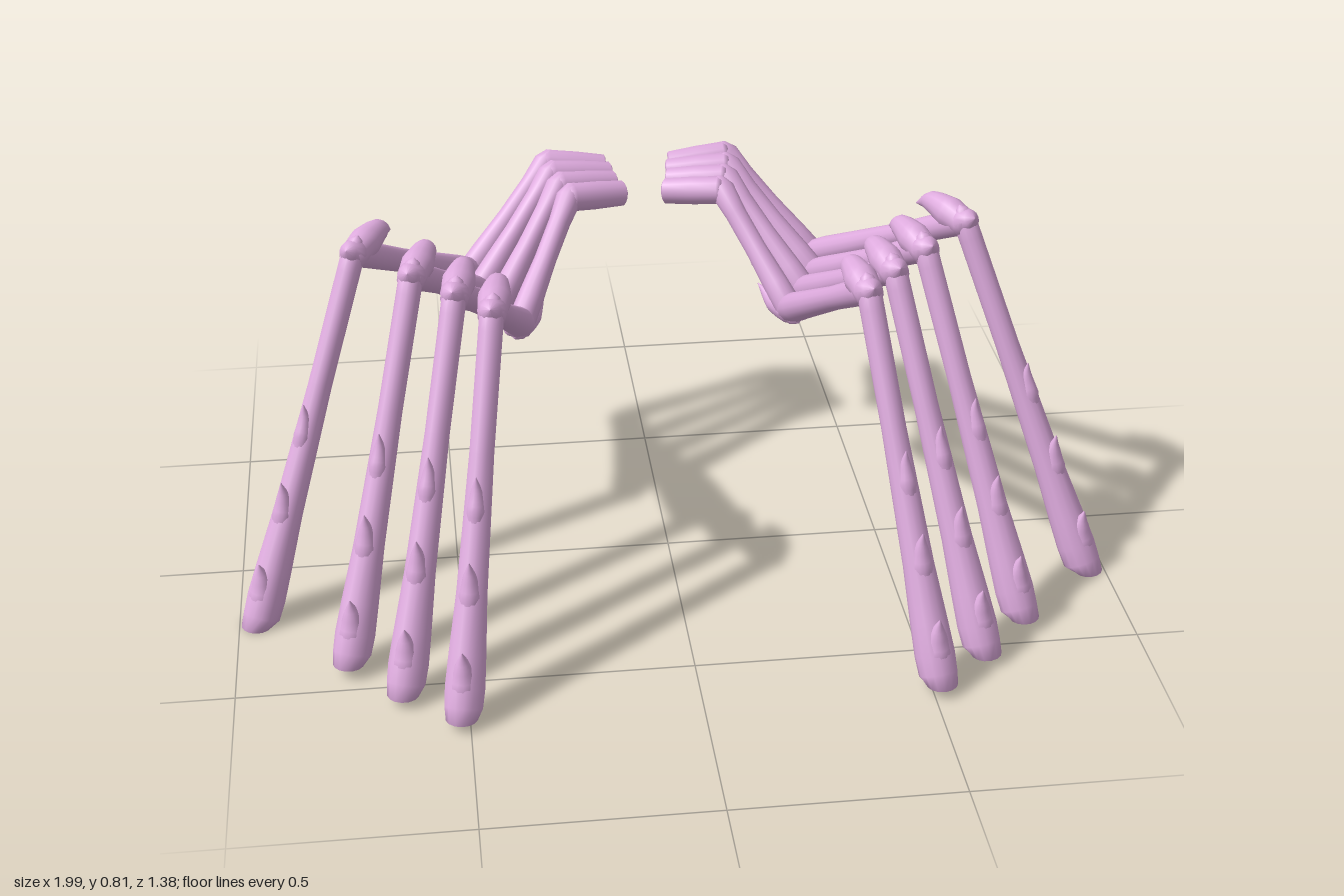
import * as THREE from 'three';

const UP = new THREE.Vector3(0, 1, 0);
const SIDES = 14;
const material = new THREE.MeshStandardMaterial({ color: 0xddaadd });

// Round skin over rings [{ p, r }]; vertices below floorY are flattened onto it
function skin(name, rings, side, floorY = -1) {
  const pos = [], idx = [], last = rings.length - 1;
  rings.forEach(({ p, r }, i) => {
    const t = rings[Math.min(i + 1, last)].p.clone().sub(rings[Math.max(i - 1, 0)].p).normalize();
    const v = t.clone().cross(side).normalize();
    const u = v.clone().cross(t);
    for (let j = 0; j < SIDES; j++) {
      const a = (j / SIDES) * Math.PI * 2;
      const q = p.clone().addScaledVector(u, Math.cos(a) * r).addScaledVector(v, Math.sin(a) * r);
      pos.push(q.x, Math.max(q.y, floorY), q.z);
      if (i < last) {
        const k = i * SIDES, n = (j + 1) % SIDES;
        idx.push(k + j, k + n, k + SIDES + n, k + j, k + SIDES + n, k + SIDES + j);
      }
    }
  });
  const g = new THREE.BufferGeometry();
  g.setAttribute('position', new THREE.Float32BufferAttribute(pos, 3));
  g.setIndex(idx);
  g.computeVertexNormals();
  const mesh = new THREE.Mesh(g, material);
  mesh.name = name;
  return mesh;
}

const sideOf = (d) => UP.clone().cross(d).normalize();

// Straight segment with a [fraction, radius] profile
function limb(name, a, b, profile, floorY) {
  const rings = profile.map(([t, r]) => ({ p: a.clone().lerp(b, t), r }));
  return skin(name, rings, sideOf(b.clone().sub(a)), floorY);
}

// Curved claw: smooth path with radii blended along it
function claw(name, points, radii, side) {
  const curve = new THREE.CatmullRomCurve3(points);
  const n = 12, rings = [{ p: curve.getPoint(0).addScaledVector(curve.getTangent(0), -0.01), r: 0.001 }];
  for (let i = 0; i <= n; i++) {
    const f = (i / n) * (radii.length - 1), k = Math.min(Math.floor(f), radii.length - 2);
    rings.push({ p: curve.getPoint(i / n), r: THREE.MathUtils.lerp(radii[k], radii[k + 1], f - k) });
  }
  return skin(name, rings, side);
}

function makeLeg(joints, s) {
  const [root, hip, elbow, knee, foot] = joints.map(([x, y, z]) => new THREE.Vector3(x * s, y, z));
  const leg = new THREE.Group();
  const flat = (a, b) => b.clone().sub(a).setY(0).normalize();
  const at = (p, h, out, up) => p.clone().addScaledVector(h, out).addScaledVector(UP, up);

  // Short drum at the body end
  leg.add(limb('hipDrum', root, hip, [[0, 0.001], [0.004, 0.026], [0.03, 0.031], [0.5, 0.034],
    [0.95, 0.034], [1.03, 0.028], [1.05, 0.001]]));

  // Inner segment dropping to the elbow, with a small thorn beneath
  leg.add(limb('innerSegment', hip, elbow, [[-0.12, 0.001], [-0.09, 0.018], [0, 0.031], [0.2, 0.026],
    [0.5, 0.026], [0.8, 0.031], [1, 0.033], [1.1, 0.02], [1.13, 0.001]]));
  const hi = flat(hip, elbow), mid = hip.clone().lerp(elbow, 0.6);
  leg.add(claw('innerThorn', [at(mid, hi, 0, 0.01), at(mid, hi, -0.02, -0.012), at(mid, hi, -0.046, -0.012)],
    [0.022, 0.016, 0.001], sideOf(hi)));

  // Middle segment rising to the knee
  leg.add(limb('middleSegment', elbow, knee, [[-0.07, 0.001], [-0.05, 0.02], [0, 0.033], [0.1, 0.035],
    [0.3, 0.032], [0.6, 0.028], [0.9, 0.031], [1, 0.032], [1.04, 0.022], [1.06, 0.001]]));
  leg.add(claw('elbowClaw', [at(elbow, hi, 0.05, 0.01), at(elbow, hi, 0, -0.004), at(elbow, hi, -0.055, -0.004),
    at(elbow, hi, -0.115, 0.022)], [0.02, 0.033, 0.024, 0.001], sideOf(hi)));
  const hm = flat(elbow, knee);
  leg.add(claw('kneeClaw', [at(knee, hm, 0.012, -0.01), at(knee, hm, -0.05, 0.003), at(knee, hm, -0.11, 0.009),
    at(knee, hm, -0.16, -0.012)], [0.03, 0.037, 0.025, 0.001], sideOf(hm)));

  // Shin flaring to a foot cut level with the ground
  leg.add(limb('shin', knee, foot, [[-0.045, 0.001], [-0.035, 0.015], [0, 0.027], [0.05, 0.027], [0.35, 0.027],
    [0.5, 0.03], [0.7, 0.034], [0.85, 0.041], [0.93, 0.044], [0.98, 0.042], [1.03, 0.035], [1.05, 0.001]], foot.y));

  // Three thorns up the outer face of the shin
  const d = foot.clone().sub(knee).normalize(), ho = flat(knee, foot);
  const n = ho.clone().addScaledVector(d, -ho.dot(d)).normalize();
  for (const [t, out, r] of [[0.41, 0.042, 0.021], [0.62, 0.052, 0.025], [0.84, 0.058, 0.031]]) {
    const tip = knee.clone().lerp(foot, t);
    const step = (along, off) => tip.clone().addScaledVector(d, along).addScaledVector(n, off);
    leg.add(claw('shinThorn', [step(0.12, 0.005), step(0.07, 0.016), step(0.03, out * 0.6), step(0, out)],
      [r * 0.9, r, r * 0.6, 0.001], sideOf(ho)));
  }
  return leg;
}

export function createModel() {
  const model = new THREE.Group();
  model.name = 'eightLegs';
  // Joints per leg: body end, hip, elbow, knee, foot
  const legs = {
    FrontLeg: [[0.05, 0.69, -0.5], [0.185, 0.71, -0.445], [0.32, 0.49, -0.235], [0.405, 0.775, 0.25], [0.515, 0.02, 0.645]],
    FrontMiddleLeg: [[0.065, 0.69, -0.56], [0.205, 0.71, -0.515], [0.37, 0.49, -0.325], [0.48, 0.775, 0.16], [0.635, 0.02, 0.545]],
    RearMiddleLeg: [[0.07, 0.69, -0.615], [0.22, 0.71, -0.585], [0.41, 0.49, -0.415], [0.57, 0.775, 0.06], [0.75, 0.025, 0.425]],
    RearLeg: [[0.08, 0.69, -0.66], [0.225, 0.71, -0.655], [0.425, 0.487, -0.53], [0.695, 0.765, -0.09], [0.955, 0, 0.22]],
  };
  for (const [name, joints] of Object.entries(legs)) {
    for (const s of [1, -1]) {
      const leg = makeLeg(joints, s);
      leg.name = (s > 0 ? 'left' : 'right') + name;
      model.add(leg);
    }
  }
  return model;
}
